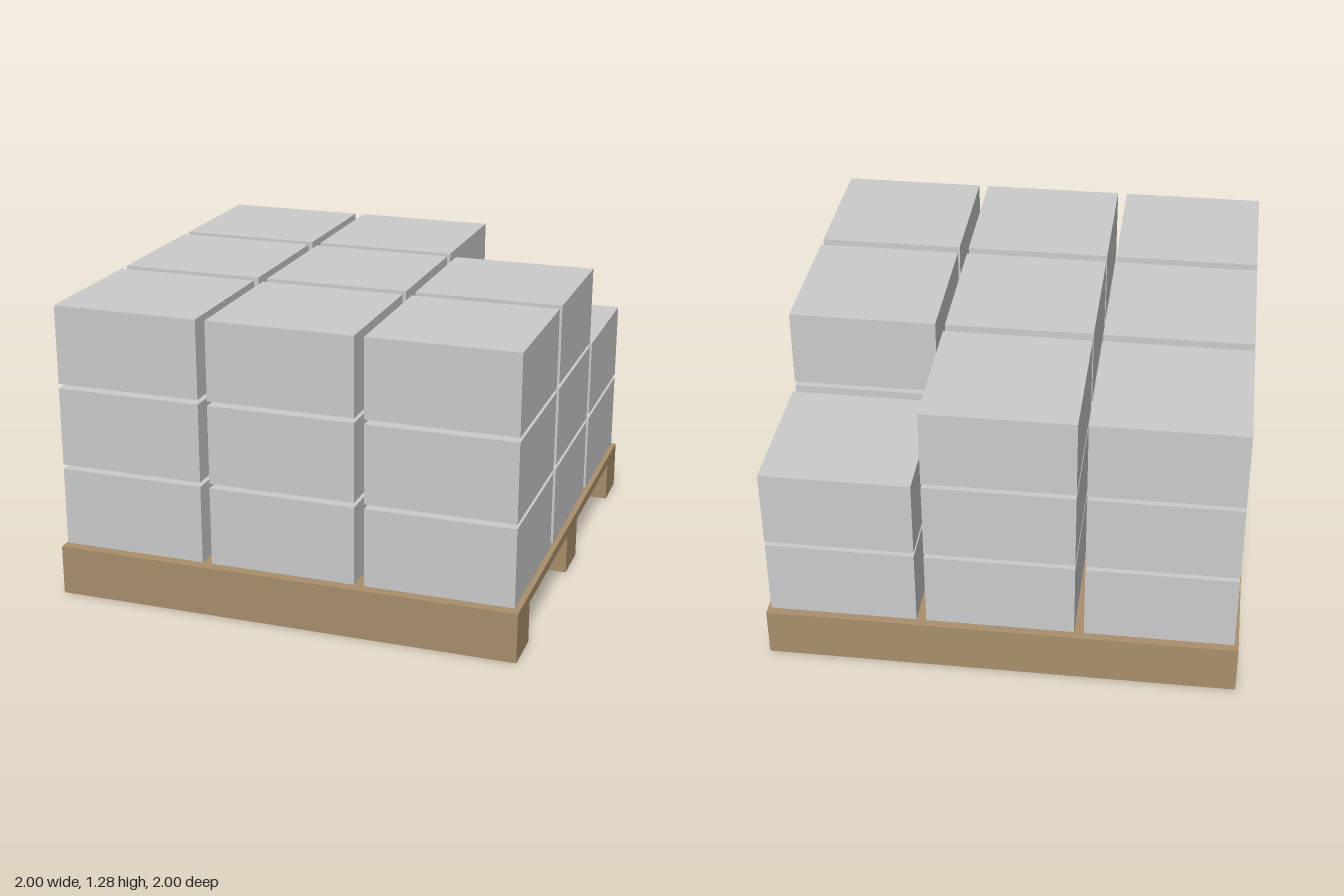
import * as THREE from 'three';

export function createModel() {
  const model = new THREE.Group();
  model.name = 'loadedPallet';
  const wood = new THREE.MeshStandardMaterial({ color: 0xa98f6c });
  const grey = new THREE.MeshStandardMaterial({ color: 0xcccccc });

  // Pallet: deck with three runners, one side profile extruded across the width
  const profile = new THREE.Shape([
    [-1, 0], [-0.8, 0], [-0.8, 0.175], [-0.1, 0.175], [-0.1, 0], [0.1, 0],
    [0.1, 0.175], [0.8, 0.175], [0.8, 0], [1, 0], [1, 0.215], [-1, 0.215],
  ].map(([z, y]) => new THREE.Vector2(z, y)));
  const palletGeometry = new THREE.ExtrudeGeometry(profile, { depth: 2, bevelEnabled: false });
  palletGeometry.translate(0, 0, -1).rotateY(-Math.PI / 2);
  const pallet = new THREE.Mesh(palletGeometry, wood);
  pallet.name = 'pallet';
  model.add(pallet);

  // Boxes: three layers of three by three, with one taken from the top back corner
  const boxes = new THREE.Group();
  boxes.name = 'boxes';
  const boxGeometry = new THREE.BoxGeometry(0.627, 0.338, 0.618);
  for (let layer = 0; layer < 3; layer++) {
    for (let row = -1; row <= 1; row++) {
      for (let column = -1; column <= 1; column++) {
        if (layer === 2 && row === -1 && column === 1) continue;
        const box = new THREE.Mesh(boxGeometry, grey);
        box.name = 'box';
        box.position.set(column * 0.668, 0.396 + layer * 0.358, row * 0.668);
        boxes.add(box);
      }
    }
  }
  model.add(boxes);
  return model;
}
